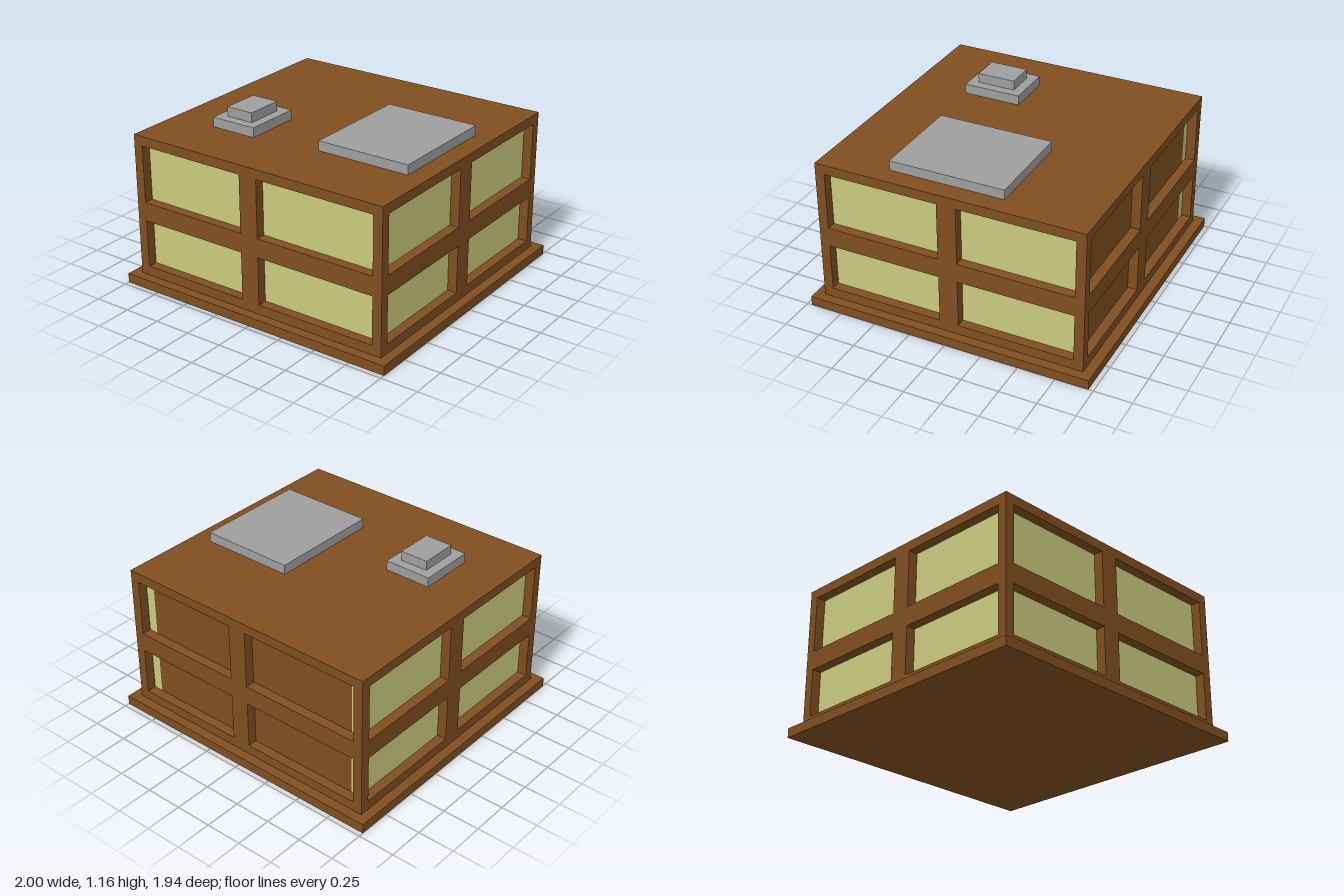
import * as THREE from 'three';

const U = 2 / 31; // building module

export function createModel() {
  const brown = new THREE.MeshStandardMaterial({ color: 0x7f4e20 });
  brown.name = 'brown wall';
  const yellow = new THREE.MeshStandardMaterial({ color: 0xcaca7e });
  yellow.name = 'pale yellow glass';
  const grey = new THREE.MeshStandardMaterial({ color: 0x9e9e9e });
  grey.name = 'grey metal';

  const model = new THREE.Group();
  model.name = 'building';

  // Box given by its limits in modules
  const box = (parent, name, material, [x0, x1], [y0, y1], [z0, z1]) => {
    const geometry = new THREE.BoxGeometry((x1 - x0) * U, (y1 - y0) * U, (z1 - z0) * U);
    const mesh = new THREE.Mesh(geometry, material);
    mesh.position.set((x0 + x1) / 2 * U, (y0 + y1) / 2 * U, (z0 + z1) / 2 * U);
    mesh.name = name;
    parent.add(mesh);
  };

  // Plinth and the horizontal bands
  box(model, 'plinth', brown, [-15.5, 15.5], [0, 1], [-15, 15]);
  const bands = { lowerBand: [1, 2], middleBand: [7, 9], roofSlab: [15, 16] };
  for (const [name, y] of Object.entries(bands)) {
    box(model, name, brown, [-14.5, 14.5], y, [-14, 14]);
  }

  // Storeys between the bands
  const storeys = { lowerStorey: [2, 7], upperStorey: [9, 15] };
  for (const [name, y] of Object.entries(storeys)) {
    const storey = new THREE.Group();
    storey.name = name;
    model.add(storey);

    // Corner posts
    for (const x of [[-14.5, -13.5], [13.5, 14.5]]) {
      for (const z of [[-14, -13], [13, 14]]) box(storey, 'cornerPost', brown, x, y, z);
    }

    // Posts dividing the windows
    box(storey, 'frontMullion', brown, [-1.5, 0.5], y, [13, 14]);
    box(storey, 'backMullion', brown, [-0.5, 1.5], y, [-14, -13]);
    box(storey, 'rightMullion', brown, [13.5, 14.5], y, [-1, 1]);
    box(storey, 'leftMullion', brown, [-14.5, -13.5], y, [-1, 1]);

    // Recessed glass on three sides, solid panel at the back
    box(storey, 'frontGlass', yellow, [-13.5, 13.5], y, [12, 13]);
    box(storey, 'rightGlass', yellow, [12.5, 13.5], y, [-13, 12]);
    box(storey, 'leftGlass', yellow, [-13.5, -12.5], y, [-13, 12]);
    box(storey, 'backPanel', brown, [-12.5, 12.5], y, [-13, -12]);
  }

  // Roof equipment
  box(model, 'largeRoofUnit', grey, [2.5, 12.5], [16, 17], [-5, 7]);
  box(model, 'ventBase', grey, [-9.5, -4.5], [16, 17], [2, 8]);
  box(model, 'ventCap', grey, [-8.5, -5.5], [17, 18], [3, 7]);

  return model;
}
